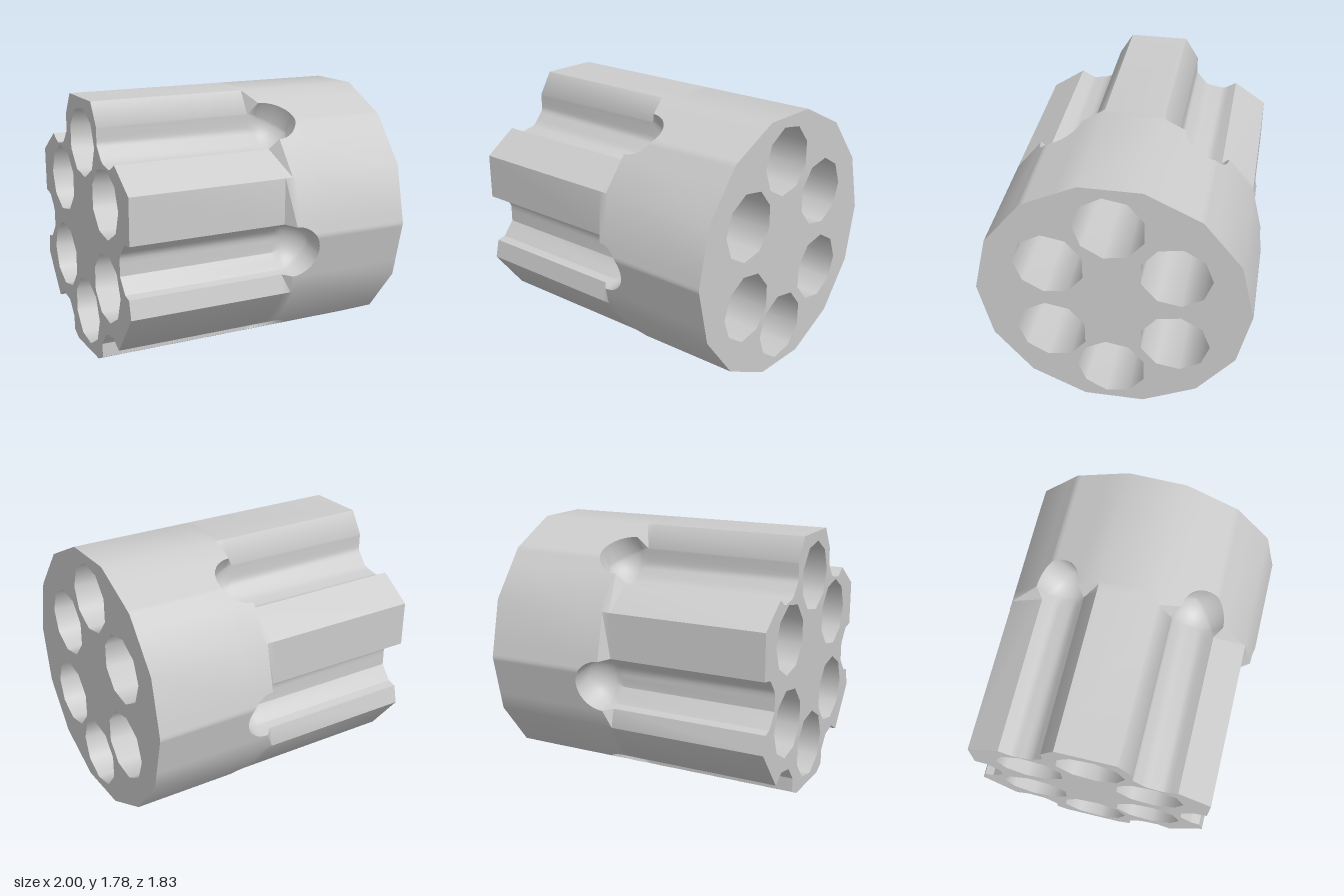
import * as THREE from 'three';
import { toCreasedNormals } from 'three/addons/utils/BufferGeometryUtils.js';

const SIDES = 14, RADIUS = 0.915, APOTHEM = RADIUS * Math.cos(Math.PI / SIDES);
// Cutter radius, half width of the flute's rim and start of its rounded end
const CUT_R = 0.19, RIM = 0.178, FLUTE_END = 0.155;
// Spacing of points across a flute and around its rounded end
const STEPS = [0, 10, 20, 28, 36, 44, 52, 60, 68, 76, 84, 90].map(THREE.MathUtils.degToRad);
const polar = (r, a) => new THREE.Vector2(r * Math.cos(a), r * Math.sin(a));

// Section plane: Vector2.x is z, Vector2.y is height above the axis
const place = (p, x) => new THREE.Vector3(x, p.y + APOTHEM, p.x);

// Skin between loops of points; flip(j) picks the diagonal of each quad
function loft(rings, crease, flip = () => true) {
  const pos = [];
  const n = rings[0].length;
  for (let i = 0; i < rings.length - 1; i++) {
    for (let j = 0; j < n; j++) {
      const k = (j + 1) % n;
      const a = rings[i][j], b = rings[i + 1][j], c = rings[i + 1][k], d = rings[i][k];
      const tris = flip(j) ? [a, b, d, d, b, c] : [a, b, c, a, c, d];
      tris.forEach((v) => pos.push(v.x, v.y, v.z));
    }
  }
  const geo = new THREE.BufferGeometry();
  geo.setAttribute('position', new THREE.Float32BufferAttribute(pos, 3));
  return toCreasedNormals(geo, crease);
}

// Distance along u, at sideways offset d, to the edge of a regular polygon
function reach(u, d, sides, radius, phase) {
  const side = new THREE.Vector2(-u.y, u.x);
  const apothem = radius * Math.cos(Math.PI / sides);
  let t = Infinity;
  for (let i = 0; i < sides; i++) {
    const n = polar(1, phase + ((i + 0.5) * 2 * Math.PI) / sides);
    if (u.dot(n) > 0.001) t = Math.min(t, (apothem - d * side.dot(n)) / u.dot(n));
  }
  return t;
}

const pointAt = (u, h, d) => new THREE.Vector2(u.x * h - u.y * d, u.y * h + u.x * d);

// Columns of the body outline: six flutes plus the free polygon corners
function outlineColumns() {
  const shift = (a) => Math.asin((RIM * Math.sin(a)) / RADIUS);
  const corner = (4 * Math.PI) / SIDES;
  // Flutes of one side: [direction, distance of the cutter from the axis]
  const flutes = [
    [corner + shift(STEPS[2]), 0.834],
    [-shift(STEPS[4]), 0.835],
    [-corner - shift(STEPS[6]), 0.94],
  ];
  const offsets = [...STEPS.slice(1).reverse().map((s) => -s), ...STEPS]
    .map((s) => RIM * Math.sin(s));
  const cols = [];
  for (const mirrored of [false, true]) {
    const phase = mirrored ? Math.PI : 0;
    for (const [a, centre] of flutes) {
      const u = polar(1, mirrored ? Math.PI - a : a);
      for (const d of offsets) {
        const h = reach(u, d, SIDES, RADIUS, 0);
        const floor = centre - reach(u.clone().negate(), -d, 9, CUT_R, phase);
        cols.push({ p: pointAt(u, h, d), u, d, h, centre, floor });
      }
    }
  }
  for (let i = 0; i < SIDES; i++) {
    const p = polar(RADIUS, (i * 2 * Math.PI) / SIDES);
    if (cols.every((c) => c.p.distanceTo(p) > 0.005)) cols.push({ p, d: Infinity });
  }
  return cols.sort((a, b) => a.p.angle() - b.p.angle());
}

// Outline with the flute floors lowered to height(column)
const outline = (cols, height) => cols.map((c) =>
  (c.u ? pointAt(c.u, Math.min(c.h, height(c)), c.d) : c.p));

// Floor of the ball-shaped flute end, at distance dx past its start
const ballFloor = (dx) => ({ d, centre }) => {
  const r = Math.hypot(d, dx);
  return r < RIM - 1e-5 ? centre - Math.sqrt(CUT_R * CUT_R - r * r) : Infinity;
};

// Nine-sided chambers: [z, height from axis, side the first corner points to]
const CHAMBERS = [
  [0.013, 0.593, 1], [0.013, -0.604, 1],
  [0.413, 0.258, 1], [0.413, -0.312, 1],
  [-0.413, 0.258, -1], [-0.413, -0.312, -1],
];
const chamberLoop = ([z, y, s]) => Array.from({ length: 9 }, (_, i) =>
  polar(0.237, (i * 2 * Math.PI) / 9 + (s < 0 ? Math.PI : 0)).add(new THREE.Vector2(z, y)));

// Flat end face pierced by the chambers; dir is -1 or +1 along x
function endFace(loop, dir) {
  const turn = (pts) => pts.map((p) => new THREE.Vector2(-dir * p.x, p.y));
  const shape = new THREE.Shape(turn(loop));
  CHAMBERS.forEach((c) => shape.holes.push(new THREE.Path(turn(chamberLoop(c)))));
  return new THREE.ShapeGeometry(shape).rotateY((dir * Math.PI) / 2).translate(dir, APOTHEM, 0);
}

export function createModel() {
  const group = new THREE.Group();
  const material = new THREE.MeshStandardMaterial({ color: 0xcccccc });
  const add = (name, geo) => {
    const mesh = new THREE.Mesh(geo, material);
    mesh.name = name;
    group.add(mesh);
  };

  // Body with long faceted flutes that end in a rounded scoop
  const cols = outlineColumns();
  const mouth = outline(cols, (c) => c.floor);
  const plain = outline(cols, () => Infinity);
  const stations = [[-1, mouth], [0.1, mouth]];
  [...STEPS].reverse().forEach((s) => {
    const dx = RIM * Math.cos(s);
    stations.push([FLUTE_END + dx, outline(cols, ballFloor(dx))]);
  });
  stations.push([1, plain]);
  const rings = stations.map(([x, loop]) => loop.map((p) => place(p, x)));
  add('flutedBody', loft(rings, 0.6, (j) => cols[j].d + cols[(j + 1) % cols.length].d > 0));

  // End faces
  add('flutedEndFace', endFace(mouth, -1));
  add('plainEndFace', endFace(plain, 1));

  // Chamber walls, facing inward
  CHAMBERS.forEach((c, i) => {
    const loop = chamberLoop(c).reverse();
    add(`chamber${i + 1}`, loft([-1, 1].map((x) => loop.map((p) => place(p, x))), 0.8));
  });
  return group;
}
